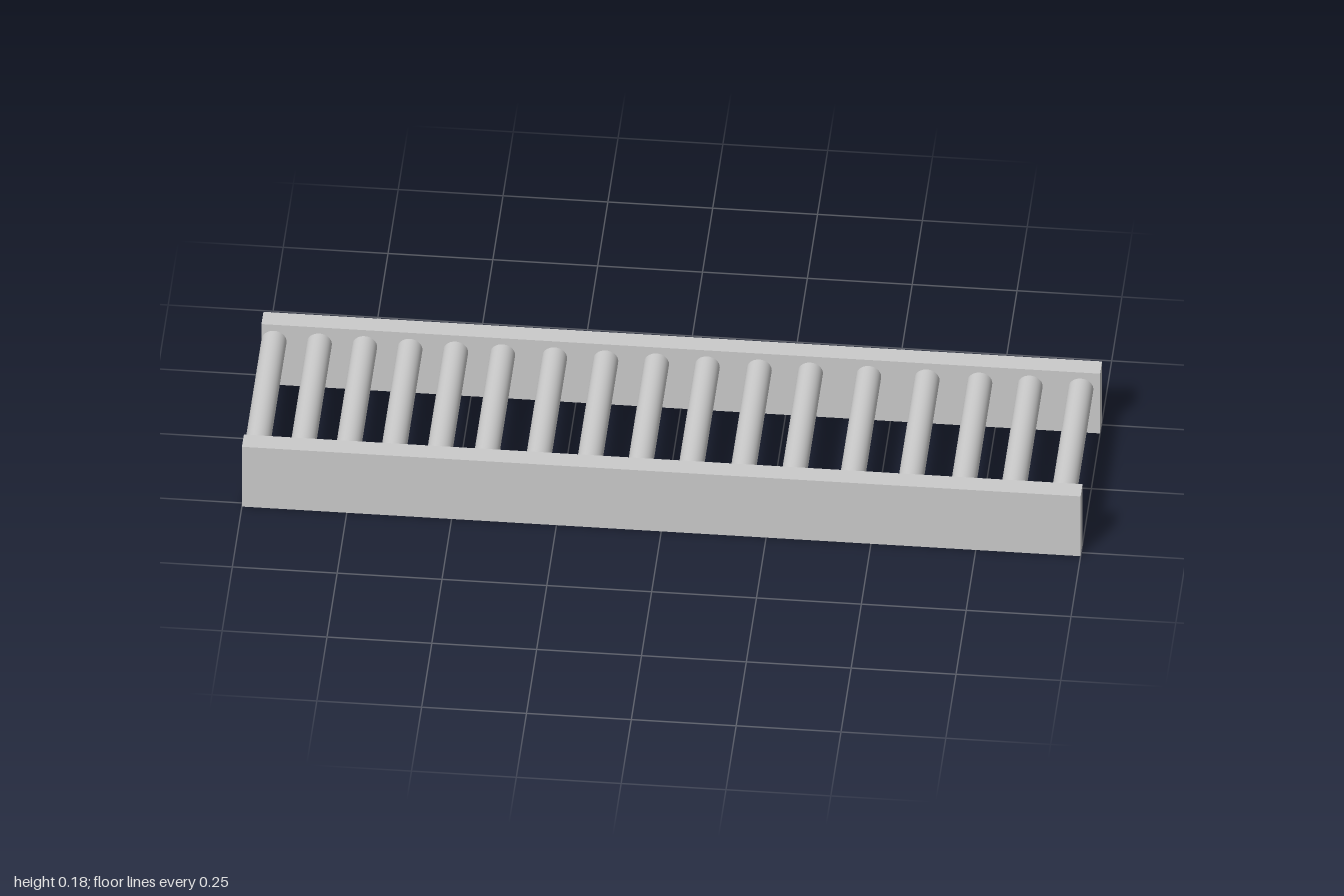
import * as THREE from 'three';

export function createModel() {
  const group = new THREE.Group();
  const material = new THREE.MeshStandardMaterial({ color: 0xcccccc });

  // Side rails, front and back
  const railGeometry = new THREE.BoxGeometry(2, 0.179, 0.048);
  for (const [name, side] of [['frontRail', 1], ['backRail', -1]]) {
    const rail = new THREE.Mesh(railGeometry, material);
    rail.name = name;
    rail.position.set(0, 0.0895, side * 0.24);
    group.add(rail);
  }

  // Rollers: spacing widens slightly along the bed
  const rollerX = [
    -0.97, -0.862, -0.754, -0.646, -0.537, -0.425, -0.301, -0.179, -0.058,
    0.063, 0.187, 0.309, 0.448, 0.587, 0.713, 0.833, 0.954,
  ];
  const rollerGeometry = new THREE.CylinderGeometry(0.03, 0.03, 0.43, 32);
  rollerGeometry.rotateX(Math.PI / 2);
  rollerX.forEach((x, i) => {
    const roller = new THREE.Mesh(rollerGeometry, material);
    roller.name = `roller${i + 1}`;
    roller.position.set(x, 0.131, -0.001);
    group.add(roller);
  });

  return group;
}
